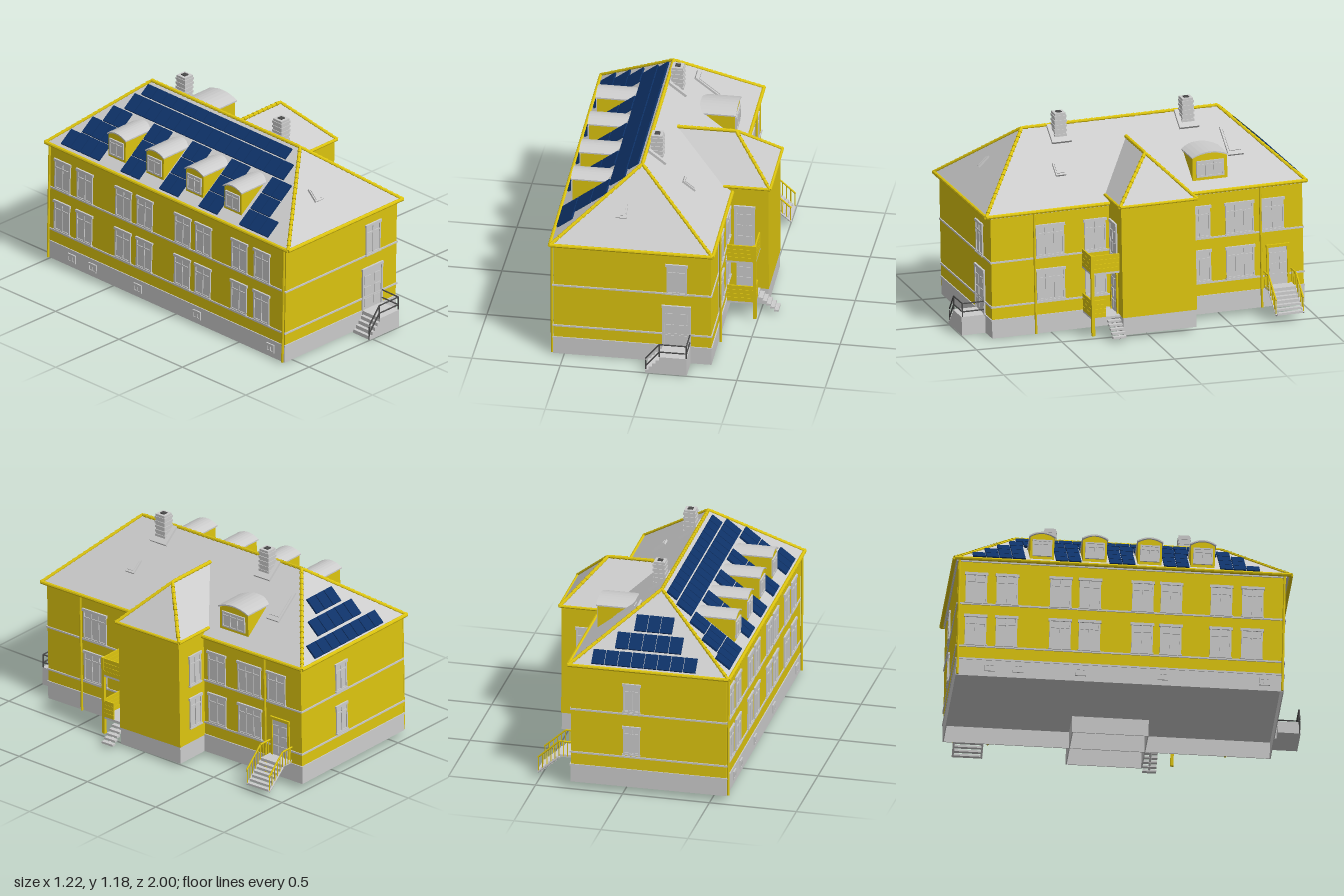
import * as THREE from 'three';

const mat = (color, side = THREE.FrontSide) => new THREE.MeshStandardMaterial({ color, side, flatShading: true });
const GREY = mat(0xcccccc), YELLOW = mat(0xdcc40f), BLUE = mat(0x0e3268), DARK = mat(0x4a4a4a);
const V = (x, y, z) => new THREE.Vector3(x, y, z);

function add(parent, name, geo, m, x = 0, y = 0, z = 0) {
  const mesh = new THREE.Mesh(geo, m);
  mesh.name = name;
  mesh.position.set(x, y, z);
  parent.add(mesh);
  return mesh;
}
// Box given by its two opposite corners
function span(parent, name, m, x0, x1, y0, y1, z0, z1) {
  return add(parent, name, new THREE.BoxGeometry(x1 - x0, y1 - y0, z1 - z0), m, (x0 + x1) / 2, (y0 + y1) / 2, (z0 + z1) / 2);
}
// Round bar between two points
function bar(parent, name, m, a, b, r, r2 = r) {
  const d = b.clone().sub(a);
  const mesh = add(parent, name, new THREE.CylinderGeometry(r2, r, d.length(), 8), m);
  mesh.position.copy(a).addScaledVector(d, 0.5);
  mesh.quaternion.setFromUnitVectors(V(0, 1, 0), d.normalize());
}
// Row of overlapping tapered cap tiles
function tiles(parent, a, b) {
  const n = Math.round(a.distanceTo(b) / 0.035);
  for (let i = 0; i < n; i++)
    bar(parent, 'ridgeTile', YELLOW, a.clone().lerp(b, i / n), a.clone().lerp(b, (i + 1.1) / n), 0.012, 0.008);
}
// Flat-faced solid from corner points and counter-clockwise faces
function solid(pts, faces) {
  const pos = [];
  for (const f of faces)
    for (let i = 1; i < f.length - 1; i++)
      for (const k of [f[0], f[i], f[i + 1]]) pos.push(...pts[k].toArray());
  const g = new THREE.BufferGeometry();
  g.setAttribute('position', new THREE.Float32BufferAttribute(pos, 3));
  g.computeVertexNormals();
  return g;
}
// Open foundation wall without floor
function shell(parent, name, x0, x1, y0, y1, z0, z1) {
  const t = 0.006;
  span(parent, name, GREY, x0, x1, y0, y1, z0, z0 + t);
  span(parent, name, GREY, x0, x1, y0, y1, z1 - t, z1);
  span(parent, name, GREY, x0, x0 + t, y0, y1, z0 + t, z1 - t);
  span(parent, name, GREY, x1 - t, x1, y0, y1, z0 + t, z1 - t);
}
function facing(parent, name, x, y, z, turn) {
  const g = new THREE.Group();
  g.name = name;
  g.position.set(x, y, z);
  g.rotation.y = turn;
  parent.add(g);
  return g;
}
// Window centred on a wall point, looking along +z before the turn
function windowAt(parent, x, y, z, w, h, turn, frame = GREY, lintel = true) {
  const g = facing(parent, 'window', x, y, z, turn), t = 0.009, n = w > 0.15 ? 3 : 2;
  span(g, 'pane', GREY, -w / 2, w / 2, -h / 2, h / 2, -0.004, 0.003);
  for (let i = 0; i <= n; i++) {
    const u = -w / 2 + t / 2 + (w - t) * i / n;
    span(g, 'frameUpright', frame, u - t / 2, u + t / 2, -h / 2, h / 2, 0, 0.008);
  }
  for (const v of [-h / 2, h * 0.2, h / 2 - t]) span(g, 'frameRail', frame, -w / 2, w / 2, v, v + t, 0, 0.008);
  if (lintel) {
    span(g, 'lintel', GREY, -w / 2 - 0.006, w / 2 + 0.006, h / 2 - 0.012, h / 2 + 0.004, 0, 0.011);
    span(g, 'sill', GREY, -w / 2 - 0.004, w / 2 + 0.004, -h / 2 - 0.006, -h / 2 + 0.002, 0, 0.012);
  }
}
// Panelled door standing on the given point
function doorAt(parent, x, y, z, w, h, turn, frame = GREY) {
  const g = facing(parent, 'door', x, y, z, turn);
  span(g, 'doorLeaf', GREY, -w / 2, w / 2, 0, h, -0.004, 0.004);
  for (const s of [-1, 1]) {
    span(g, 'doorJamb', frame, s * w / 2 - 0.006, s * w / 2 + 0.006, 0, h, 0, 0.01);
    for (let i = 0; i < 3; i++) span(g, 'doorPanel', GREY, s * w / 4 - w * 0.16, s * w / 4 + w * 0.16, h * (0.07 + i * 0.27), h * (0.27 + i * 0.27), 0, 0.008);
  }
  span(g, 'doorHead', frame, -w / 2 - 0.008, w / 2 + 0.008, h - 0.012, h + 0.004, 0, 0.012);
}

// Main roof slopes: ridge, eave and fall per unit
const RX = -0.12, RY = 1.085, EY = 0.732, X0 = -0.589, X1 = 0.331, Z0 = -0.998, Z1 = 0.887, RZ0 = -0.63, RZ1 = 0.52;
const FALL = { right: (RY - EY) / (X1 - RX), left: (RY - EY) / (RX - X0), front: (RY - EY) / (Z1 - RZ1), back: (RY - EY) / (RZ0 - Z0) };
const roofY = (side, x, z) => RY - FALL[side] * { right: x - RX, left: RX - x, front: z - RZ1, back: RZ0 - z }[side];
// Flat slab lying on a slope, sized in plan
function onSlope(parent, name, m, side, x, z, w, d, t) {
  const a = Math.atan(FALL[side]), alongX = side === 'right' || side === 'left';
  const geo = new THREE.BoxGeometry(alongX ? w / Math.cos(a) : w, t, alongX ? d : d / Math.cos(a));
  const mesh = add(parent, name, geo, m, x, roofY(side, x, z) + t * 0.3, z);
  if (alongX) mesh.rotation.z = side === 'right' ? -a : a;
  else mesh.rotation.x = side === 'front' ? a : -a;
}
// Dormer with a shallow arched roof
function dormer(parent, s, xf, xb, cz, hw, yb, ye, yc) {
  const g = facing(parent, 'dormer', xf, 0, cz, s * Math.PI / 2), len = Math.abs(xf - xb);
  const arch = (w, lift, bottom) => {
    const p = new THREE.Shape();
    p.moveTo(w, ye + lift);
    p.quadraticCurveTo(0, 2 * yc - ye + lift, -w, ye + lift);
    if (bottom) p.lineTo(-w, bottom), p.lineTo(w, bottom);
    else p.lineTo(-w, ye), p.quadraticCurveTo(0, 2 * yc - ye, w, ye);
    return p;
  };
  const opts = depth => ({ depth, bevelEnabled: false, curveSegments: 8 });
  add(g, 'dormerWalls', new THREE.ExtrudeGeometry(arch(hw - 0.006, -0.002, yb - 0.02), opts(len)), YELLOW, 0, 0, -len);
  add(g, 'dormerRoof', new THREE.ExtrudeGeometry(arch(hw, 0.008), opts(len + 0.008)), GREY, 0, 0, -len);
  const h = ye - yb - 0.03;
  windowAt(g, 0, yb + 0.012 + h / 2, 0.001, hw * 1.5, h, 0, GREY, false);
}
// Straight flight going down along +x or -x
function steps(parent, s, x, run, yTop, yBottom, z0, z1, n, solidSteps) {
  for (let i = 0; i < n; i++) {
    const a = x + s * run * i / n, b = x + s * run * (i + 1) / n, y = yTop - (yTop - yBottom) * (i + 1) / (n + 1);
    span(parent, 'step', GREY, Math.min(a, b), Math.max(a, b) + 0.004, solidSteps ? yBottom : y - 0.012, y, z0, z1);
  }
}

export function createModel() {
  const root = new THREE.Group();
  root.name = 'house';
  const L = -0.573, R = 0.317, F = 0.857, B = -0.977, G = 0.019, P = 0.12, H = Math.PI / 2;

  // Foundation, walls and trim bands
  shell(root, 'foundation', L - 0.002, R + 0.002, G, P, B - 0.002, F + 0.002);
  span(root, 'mainWalls', YELLOW, L, R, P, EY, B, F);
  for (const y of [0.122, 0.2, 0.46, 0.722]) span(root, 'trimBand', GREY, L - 0.006, R + 0.006, y - 0.005, y + 0.005, B - 0.006, F + 0.006);
  shell(root, 'wingFoundation', 0.1, 0.532, G, P, -0.272, 0.157);
  span(root, 'wingWalls', YELLOW, 0.1, 0.535, P, 0.772, -0.275, 0.16).scale.x = 1;

  // Main hipped roof with gutters and cap tiles
  const m = [V(X0, EY, Z0), V(X1, EY, Z0), V(X1, EY, Z1), V(X0, EY, Z1), V(RX, RY, RZ0), V(RX, RY, RZ1)];
  add(root, 'mainRoof', solid(m, [[3, 2, 5], [2, 1, 4, 5], [1, 0, 4], [0, 3, 5, 4], [0, 1, 2, 3]]), GREY);
  for (let i = 0; i < 4; i++) bar(root, 'gutter', YELLOW, m[i], m[(i + 1) % 4], 0.011);
  for (const [a, b] of [[0, 4], [1, 4], [2, 5], [3, 5], [4, 5]]) tiles(root, m[a], m[b]);

  // Wing roof running into the main slope
  const wz0 = -0.285, wz1 = 0.17, wy = 0.77, wc = -0.057;
  const w = [V(0.282, wy, wz0), V(0.545, wy, wz0), V(0.545, wy, wz1), V(0.282, wy, wz1), V(-0.012, 1, wc), V(0.32, 1, wc)];
  add(root, 'wingRoof', solid(w, [[3, 2, 5, 4], [1, 0, 4, 5], [2, 1, 5], [0, 1, 2, 3]]), GREY);
  for (let i = 0; i < 3; i++) bar(root, 'wingGutter', YELLOW, w[i], w[i + 1], 0.009);
  for (const [a, b] of [[1, 5], [2, 5], [4, 5]]) tiles(root, w[a], w[b]);

  // Chimneys in brick courses
  for (const z of [-0.43, 0.32]) {
    onSlope(root, 'chimneyFlashing', GREY, 'right', -0.062, z, 0.1, 0.115, 0.02);
    for (let i = 0; i < 14; i++) {
      const s = i % 2 ? 0.064 : 0.072;
      add(root, 'chimneyCourse', new THREE.BoxGeometry(s, 0.0135, s), GREY, -0.065, 0.99 + i * 0.0135, z);
    }
    add(root, 'flue', new THREE.BoxGeometry(0.03, 0.006, 0.03), DARK, -0.065, 1.174, z);
  }

  // Roof windows
  for (const [side, x, z, sx, sz] of [['front', -0.206, 0.725, 0.06, 0.06], ['right', 0.125, 0.385, 0.07, 0.06], ['right', 0.08, -0.645, 0.155, 0.09]]) {
    onSlope(root, 'roofWindowFrame', GREY, side, x, z, sx, sz, 0.016);
    onSlope(root, 'roofWindowPane', GREY, side, x, z, sx * 0.75, sz * 0.75, 0.022);
  }

  // Dormers
  for (const z of [-0.505, -0.21, 0.098, 0.395]) dormer(root, -1, -0.525, -0.3, z, 0.073, 0.785, 0.915, 0.938);
  dormer(root, 1, 0.265, 0.06, -0.455, 0.108, 0.79, 0.915, 0.94);

  // Solar panels: side, x range, z range, columns, rows
  for (const [side, x0, x1, z0, z1, nx, nz] of [
    ['left', -0.572, -0.485, -0.895, -0.82, 1, 1], ['left', -0.572, -0.39, -0.82, -0.745, 2, 1],
    ['left', -0.572, -0.303, -0.745, -0.597, 3, 2], ['left', -0.575, -0.303, -0.43, -0.285, 3, 2],
    ['left', -0.575, -0.303, -0.13, 0.018, 3, 2], ['left', -0.575, -0.303, 0.175, 0.32, 3, 2],
    ['left', -0.575, -0.303, 0.49, 0.64, 3, 2], ['left', -0.575, -0.485, 0.64, 0.715, 1, 1],
    ['left', -0.3, -0.21, -0.67, 0.565, 1, 16], ['left', -0.207, -0.145, -0.63, 0.49, 1, 14],
    ['back', -0.397, 0.203, -0.988, -0.92, 8, 1], ['back', -0.297, 0.085, -0.912, -0.835, 5, 1],
    ['back', -0.225, -0.005, -0.828, -0.752, 3, 1]]) {
    const dx = (x1 - x0) / nx, dz = (z1 - z0) / nz;
    for (let i = 0; i < nx; i++) for (let j = 0; j < nz; j++)
      onSlope(root, 'solarPanel', BLUE, side, x0 + dx * (i + 0.5), z0 + dz * (j + 0.5), dx - 0.005, dz - 0.005, 0.016);
  }

  // Windows and doors on each wall
  for (const y of [0.3, 0.558]) {
    for (const z of [-0.873, -0.7, -0.4, -0.235, 0.06, 0.22, 0.5, 0.675]) windowAt(root, L, y, z, 0.12, 0.18, -H);
    for (const [z, ww] of [[0.51, 0.165], [0.245, 0.125], [-0.37, 0.125], [-0.605, 0.165]]) windowAt(root, R, y, z, ww, 0.18, H);
    windowAt(root, -0.03, y, B, 0.095, 0.165, Math.PI);
    windowAt(root, 0.4, y, -0.275, 0.1, 0.18, Math.PI);
  }
  windowAt(root, R, 0.558, -0.8, 0.13, 0.18, H);
  windowAt(root, 0.124, 0.555, F, 0.115, 0.185, 0);
  for (const z of [0.75, 0.18, -0.28, -0.63, -0.79]) windowAt(root, L - 0.002, 0.075, z, 0.06, 0.05, -H, GREY, false);
  doorAt(root, 0.122, 0.126, F, 0.15, 0.255, 0);
  doorAt(root, R, 0.145, -0.825, 0.12, 0.23, H, YELLOW);
  doorAt(root, 0.4, 0.385, 0.16, 0.105, 0.26, 0);
  doorAt(root, 0.4, 0.125, 0.16, 0.105, 0.24, 0, YELLOW);

  // Downpipes
  for (const [x, z] of [[0.331, 0.605], [0.331, -0.725], [-0.583, -0.97], [-0.583, 0.85]]) bar(root, 'downpipe', YELLOW, V(x, 0.022, z), V(x, EY, z), 0.007);

  // Front landing, steps and handrail
  span(root, 'frontLanding', GREY, 0.045, 0.2, G, 0.126, F, 0.998);
  steps(root, -1, 0.045, 0.08, 0.126, G, 0.87, 0.998, 4, true);
  for (const dy of [0.03, 0.078]) {
    bar(root, 'frontRail', DARK, V(0.045, 0.126 + dy, 0.992), V(0.198, 0.126 + dy, 0.992), 0.004);
    bar(root, 'frontRail', DARK, V(0.198, 0.126 + dy, 0.992), V(0.198, 0.126 + dy, F), 0.004);
    bar(root, 'frontRail', DARK, V(0.045, 0.126 + dy, 0.992), V(-0.033, 0.03 + dy, 0.992), 0.004);
  }
  for (const [x, y] of [[0.198, 0.126], [0.045, 0.126], [-0.033, G]]) bar(root, 'frontRailPost', DARK, V(x, y, 0.992), V(x, y + 0.08, 0.992), 0.004);

  // Side entrance stairs with balustrades
  span(root, 'sideLanding', GREY, R, 0.4, 0.13, 0.145, -0.905, -0.745);
  steps(root, 1, 0.4, 0.12, 0.145, G, -0.9, -0.75, 6, false);
  for (const z of [-0.905, -0.745]) {
    bar(root, 'sideStringer', GREY, V(0.4, 0.13, z), V(0.522, 0.026, z), 0.006);
    bar(root, 'sideRail', YELLOW, V(R, 0.225, z), V(0.4, 0.225, z), 0.005);
    bar(root, 'sideRail', YELLOW, V(0.4, 0.225, z), V(0.522, 0.115, z), 0.005);
    for (let i = 0; i < 9; i++) {
      const x = 0.33 + i * 0.0235, drop = Math.max(0, x - 0.4) * 0.9;
      bar(root, 'baluster', YELLOW, V(x, 0.135 - drop, z), V(x, 0.225 - drop, z), 0.003);
    }
  }

  // Two-storey balcony beside the wing, with boarded parapets
  span(root, 'balconyPost', YELLOW, 0.472, 0.49, 0.02, 0.487, 0.31, 0.328);
  for (const [y, zs] of [[0.125, 0.245], [0.385, 0.16]]) {
    span(root, 'balconyFloor', GREY, R, 0.488, y - 0.012, y, 0.16, 0.325);
    for (let i = 0; i < 4; i++) {
      const a = y + i * 0.0255;
      span(root, 'parapetBoard', YELLOW, 0.325, 0.486, a, a + 0.024, 0.318, 0.326);
      span(root, 'parapetBoard', YELLOW, 0.48, 0.488, a, a + 0.024, zs, 0.32);
    }
  }
  steps(root, 1, 0.488, 0.11, 0.125, G, 0.163, 0.24, 5, false);
  bar(root, 'balconyStringer', GREY, V(0.488, 0.1, 0.2), V(0.595, 0.024, 0.2), 0.007);

  // Slight lean and turn of the whole building
  root.rotation.set(0.0185, 0.0155, 0);
  const group = new THREE.Group();
  group.add(root);
  return group;
}
